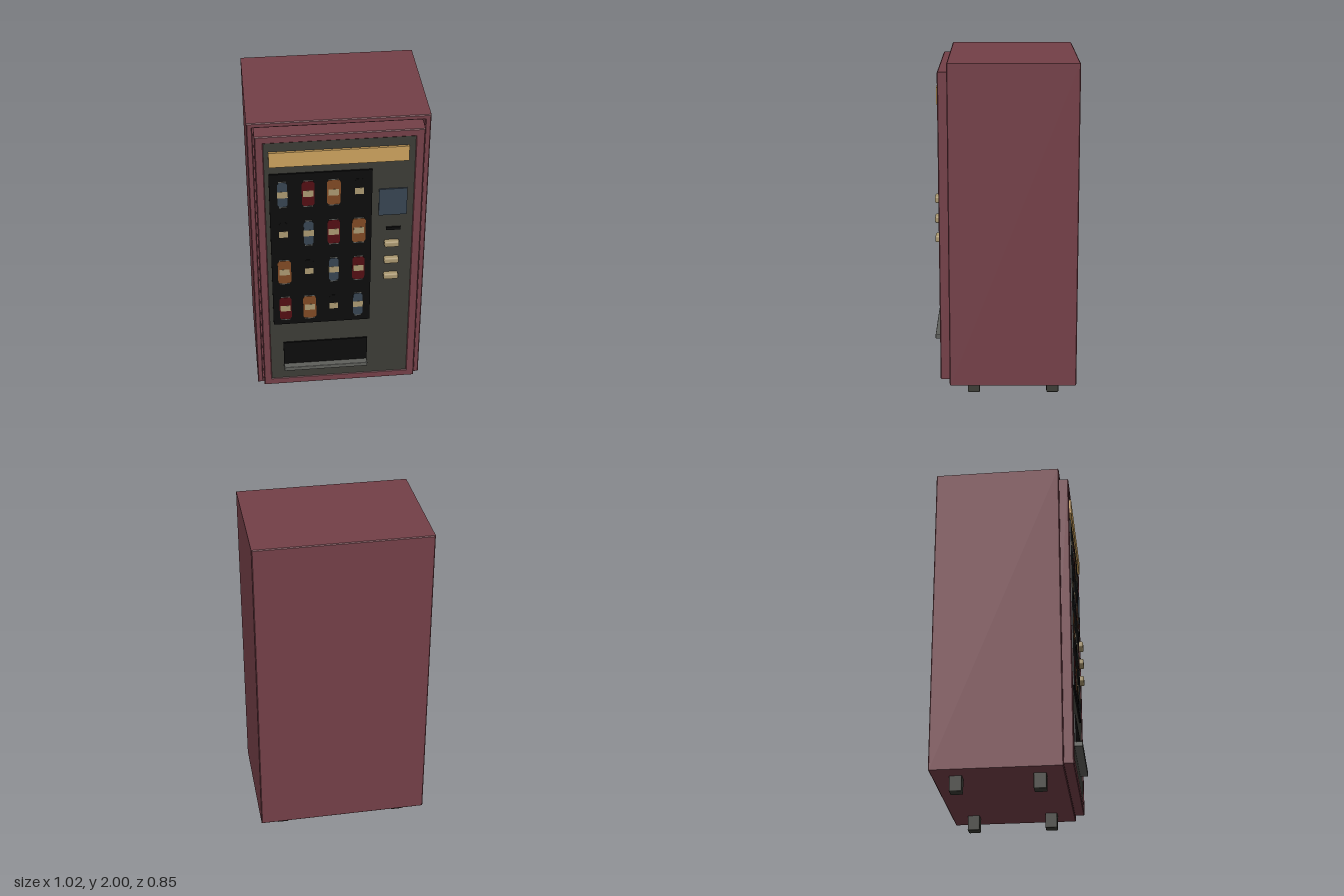
import * as THREE from 'three';
import { RoundedBoxGeometry } from 'three/addons/geometries/RoundedBoxGeometry.js';

const mat = (name, color) => {
  const m = new THREE.MeshStandardMaterial({ color });
  m.name = name;
  return m;
};

// Rectangle outline from edges, usable as a shape or a hole
function rect(x0, x1, y0, y1, Type = THREE.Shape) {
  const s = new Type();
  s.moveTo(x0, y0);
  s.lineTo(x1, y0);
  s.lineTo(x1, y1);
  s.lineTo(x0, y1);
  s.closePath();
  return s;
}

export function createModel() {
  const model = new THREE.Group();
  model.name = 'vendingMachine';
  const maroon = mat('maroon paint', 0x733f47);
  const olive = mat('dark olive', 0x3b3b35);
  const black = mat('black', 0x0c0c0c);
  const gold = mat('gold', 0xc9a05c);
  const blue = mat('slate blue', 0x364350);
  const red = mat('dark red', 0x520e13);
  const orange = mat('orange brown', 0x7d4823);
  const cream = mat('cream', 0xa8966f);
  const grey = mat('grey metal', 0x5d5e5a);

  const add = (name, geometry, material, parent = model) => {
    const m = new THREE.Mesh(geometry, material);
    m.name = name;
    parent.add(m);
    return m;
  };

  // Box given by its edges, optionally rounded
  const box = (name, material, [x0, x1], [y0, y1], [z0, z1], r = 0, parent = model) => {
    const size = [x1 - x0, y1 - y0, z1 - z0];
    const g = r ? new RoundedBoxGeometry(...size, 2, r) : new THREE.BoxGeometry(...size);
    g.translate((x0 + x1) / 2, (y0 + y1) / 2, (z0 + z1) / 2);
    return add(name, g, material, parent);
  };

  // Bevelled rectangular ring running from z0 to z1
  const ring = (name, outer, inner, z0, z1) => {
    const b = 0.005;
    const s = rect(...outer);
    s.holes.push(rect(...inner, THREE.Path));
    const g = new THREE.ExtrudeGeometry(s, {
      depth: z1 - z0 - 2 * b, bevelThickness: b, bevelSize: b, bevelOffset: -b, bevelSegments: 1,
    });
    g.translate(0, 0, z0 + b);
    return add(name, g, maroon);
  };

  // Cabinet: outer shell with a shallow front recess
  ring('cabinetShell', [-0.51, 0.51, 0.09, 2], [-0.477, 0.477, 0.112, 1.97], -0.425, 0.325);
  box('cabinetCore', maroon, [-0.49, 0.49], [0.1, 1.985], [-0.425, 0.27]);

  // Door frame and front panel
  ring('doorFrame', [-0.471, 0.471, 0.114, 1.946], [-0.423, 0.42, 0.165, 1.9], 0.265, 0.38);
  box('frontPanel', olive, [-0.43, 0.43], [0.155, 1.91], [0.27, 0.376]);

  // Sign, window, screen and coin slot
  box('sign', gold, [-0.397, 0.385], [1.75, 1.845], [0.374, 0.39]);
  box('window', black, [-0.4, 0.182], [0.61, 1.7], [0.374, 0.386]);
  box('screen', blue, [0.222, 0.384], [1.38, 1.56], [0.374, 0.384]);
  box('coinSlot', black, [0.267, 0.352], [1.273, 1.292], [0.374, 0.386]);

  // Selection buttons
  for (const y of [1.18, 1.06, 0.942]) {
    box('button', cream, [0.259, 0.345], [y - 0.02, y + 0.02], [0.37, 0.407], 0.01);
  }

  // Delivery hatch with its lip
  box('deliveryHatch', black, [-0.345, 0.17], [0.28, 0.458], [0.374, 0.385]);
  box('hatchLip', grey, [-0.345, 0.17], [0.258, 0.287], [0.37, 0.423], 0.004);

  // Display can: thin face with narrowed ends
  const canFace = (w, h, z) => {
    const s = new THREE.Shape();
    const x = w / 2, y = h / 2, c = 0.009;
    [[-x + c, -y], [x - c, -y], [x, -y + c * 1.6], [x, y - c * 1.6],
      [x - c, y], [-x + c, y], [-x, y - c * 1.6], [-x, -y + c * 1.6]]
      .forEach(([px, py], i) => (i ? s.lineTo(px, py) : s.moveTo(px, py)));
    const g = new THREE.ExtrudeGeometry(s, { depth: 0.002, bevelEnabled: false });
    g.translate(0, 0, z);
    return g;
  };

  // Four kinds of drink, shifted by one column on each row
  const kinds = [[blue, 0.056], [red, 0.072], [orange, 0.078], [black, 0.05]];
  for (let row = 0; row < 4; row++) {
    for (let col = 0; col < 4; col++) {
      const [paint, w] = kinds[(col - row + 4) % 4];
      const can = new THREE.Group();
      can.name = 'can';
      can.position.set(-0.326 + col * 0.145, 1.562 - row * 0.276, 0);
      add('canBody', canFace(w, 0.165, 0.386), paint, can);
      const l = paint === black ? 0.026 : 0.03;
      box('canLabel', cream, [-l, l], [-0.021, 0.021], [0.386, 0.3892], 0, can);
      if (paint !== black) {
        for (const s of [-1, 1]) {
          const y = s * 0.087;
          box('canRim', grey, [-w * 0.38, w * 0.38], [y - 0.0025, y + 0.0025], [0.385, 0.3875], 0, can);
        }
      }
      model.add(can);
    }
  }

  // Feet
  for (const x of [-0.367, 0.363]) {
    for (const z of [-0.288, 0.185]) {
      box('foot', olive, [x - 0.035, x + 0.035], [0, 0.1], [z - 0.036, z + 0.036], 0.006);
    }
  }
  return model;
}
